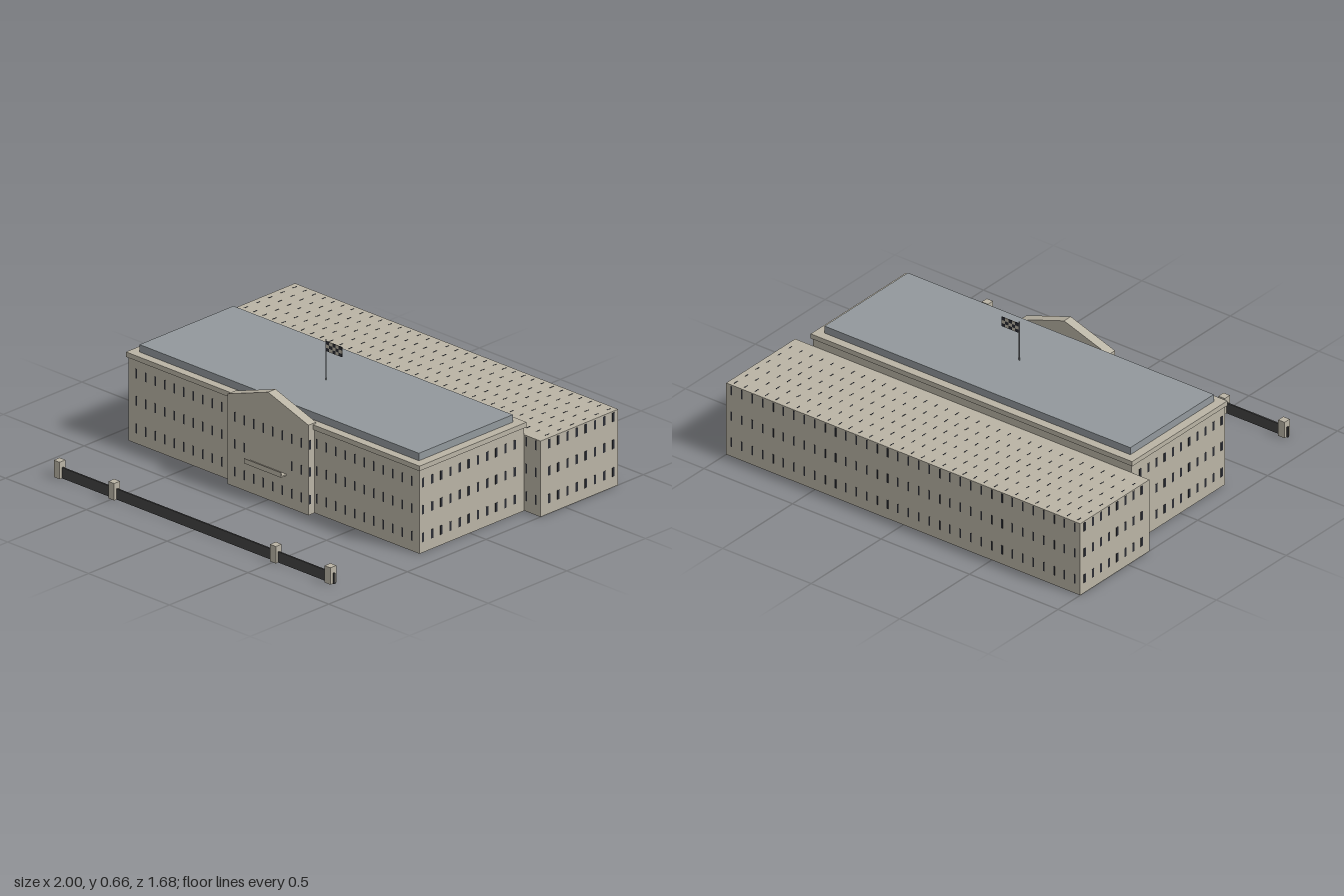
import * as THREE from 'three';
import { mergeGeometries } from 'three/addons/utils/BufferGeometryUtils.js';

const mat = (name, color) => Object.assign(new THREE.MeshStandardMaterial({ color }), { name });

// Box geometry given by its limits
function block(x0, x1, y0, y1, z0, z1) {
  return new THREE.BoxGeometry(x1 - x0, y1 - y0, z1 - z0)
    .translate((x0 + x1) / 2, (y0 + y1) / 2, (z0 + z1) / 2);
}

export function createModel() {
  const stone = mat('stone', 0xbab4a5);
  const slate = mat('slate roof', 0x92989c);
  const glass = mat('dark glass', 0x2b2d34);
  const iron = mat('dark iron', 0x434343);
  const metal = mat('pole metal', 0x868a8e);

  const model = new THREE.Group();
  model.name = 'building';
  const add = (name, geometry, material) => {
    const mesh = new THREE.Mesh(geometry, material);
    mesh.name = name;
    model.add(mesh);
    return mesh;
  };

  // Main masses
  add('backWing', block(-1, 1, 0, 0.367, -0.841, -0.347), stone);
  add('mainBody', block(-0.9, 0.9, 0, 0.405, -0.346, 0.32), stone);
  add('cornice', block(-0.908, 0.908, 0.405, 0.429, -0.353, 0.328), stone);
  add('roofSlab', block(-0.864, 0.864, 0.429, 0.465, -0.31, 0.287), slate);

  // Gabled entrance bay: lower block and a pentagon top
  add('entranceBay', block(-0.25, 0.25, 0, 0.405, 0.31, 0.358), stone);
  const gable = new THREE.Shape([
    [-0.25, 0.405], [0.25, 0.405], [0.25, 0.436], [0, 0.52], [-0.25, 0.436],
  ].map(([x, y]) => new THREE.Vector2(x, y)));
  add('gable', new THREE.ExtrudeGeometry(gable, { depth: 0.048, bevelEnabled: false })
    .translate(0, 0, 0.31), stone);

  // Balcony with a low front rail
  add('balconyFloor', block(-0.115, 0.115, 0.152, 0.158, 0.356, 0.394), stone);
  add('balconyRail', block(-0.115, 0.115, 0.152, 0.176, 0.39, 0.394), stone);

  // Windows: three storeys on a regular pitch, as thin plates
  const storeys = [0.073, 0.207, 0.338];
  const pitch = 0.0588, t = 0.002;
  const front = [], back = [], sides = [], vents = [];
  for (const y of storeys) {
    for (let i = 0; i < 34; i++) {
      const x = -0.97 + i * pitch;
      const w = 0.008, h = 0.046;
      const z = Math.abs(x) < 0.25 ? 0.358 : Math.abs(x) < 0.9 ? 0.32 : -0.347;
      if (!(Math.abs(x) < 0.12 && y === storeys[1])) {
        front.push(new THREE.BoxGeometry(w, h, t).translate(x, y, z));
      }
      back.push(new THREE.BoxGeometry(w, h, t).translate(x, y, -0.841));
    }
    for (const s of [-1, 1]) {
      for (let i = 0; i < 20; i++) {
        const z = 0.298 - i * 0.0583;
        if (z > -0.36 && z < -0.33) continue;
        const x = z > -0.345 ? 0.9 : 1;
        sides.push(new THREE.BoxGeometry(t, 0.044, 0.014).translate(s * x, y, z));
      }
      sides.push(new THREE.BoxGeometry(t, 0.044, 0.012).translate(s * 0.25, y, 0.35));
    }
  }
  add('frontWindows', mergeGeometries(front), glass);
  add('backWindows', mergeGeometries(back), glass);
  add('sideWindows', mergeGeometries(sides), glass);

  // Small slits in the flat roof of the back wing
  for (let row = 0; row < 6; row++) {
    for (let i = 0; i < 34; i++) {
      vents.push(new THREE.BoxGeometry(0.004, t, 0.024)
        .translate(-0.97 + i * pitch, 0.367, -0.81 + row * 0.078));
    }
  }
  add('roofSlits', mergeGeometries(vents), glass);

  // Flagpole and checked flag
  const poleZ = -0.01;
  add('flagpole', new THREE.CylinderGeometry(0.003, 0.003, 0.197, 8)
    .translate(0, 0.5635, poleZ), metal);
  const light = [], dark = [];
  const cols = 5, rows = 3, cw = 0.098 / cols, ch = 0.048 / rows;
  for (let c = 0; c < cols; c++) {
    for (let r = 0; r < rows; r++) {
      const x = 0.002 + c * cw, y = 0.605 + r * ch;
      ((c + r) % 2 ? light : dark).push(
        block(x, x + cw, y, y + ch, poleZ - 0.002, poleZ + 0.002));
    }
  }
  add('flagLightChecks', mergeGeometries(light), stone);
  add('flagDarkChecks', mergeGeometries(dark), glass);

  // Front fence between stone posts
  add('fence', block(-0.864, 0.864, 0, 0.052, 0.818, 0.826), iron);
  for (const x of [-0.838, -0.5, 0.5, 0.838]) {
    add('fencePost', block(x - 0.018, x + 0.018, 0, 0.082, 0.804, 0.841), stone);
  }

  return model;
}
